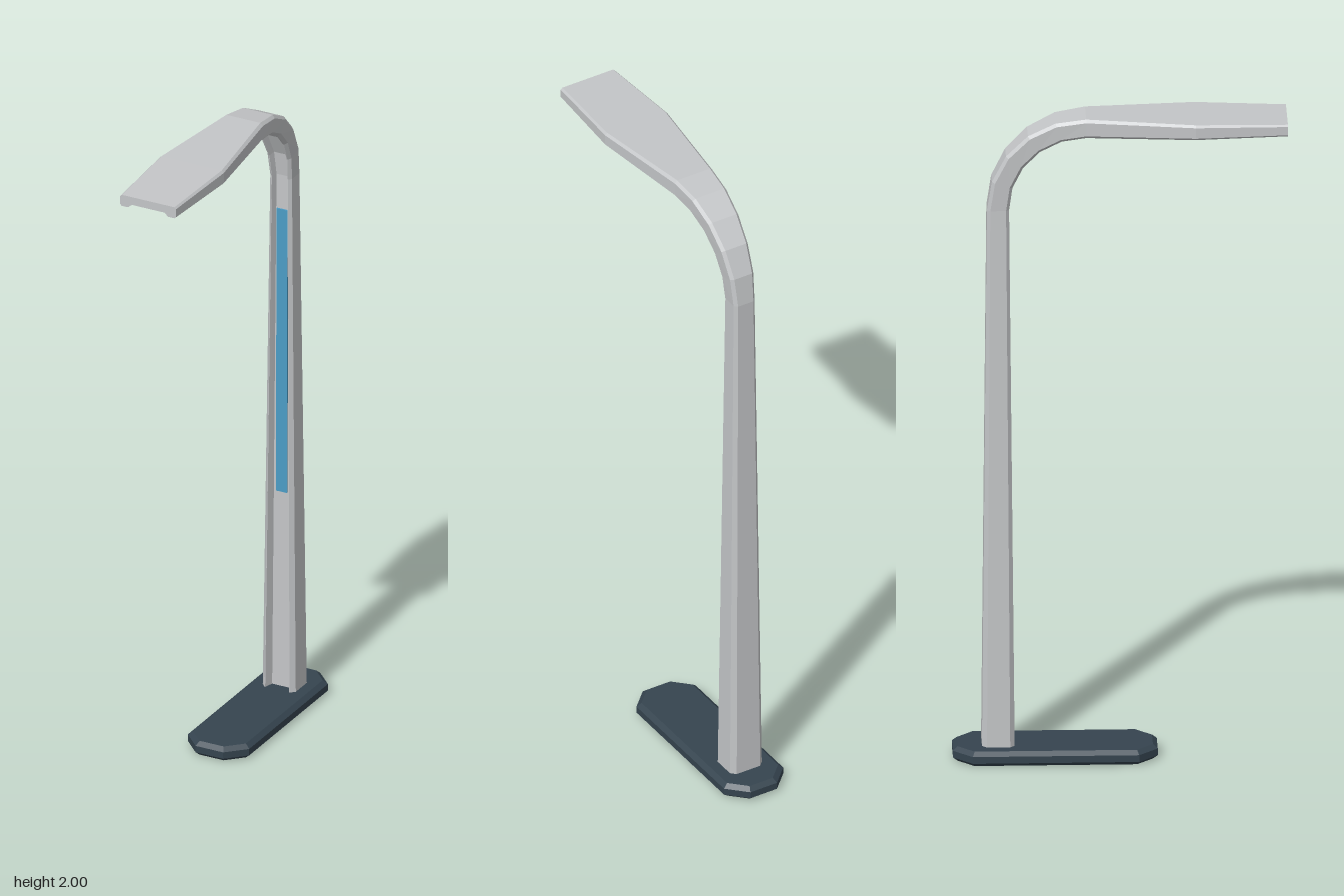
import * as THREE from 'three';

// Stations along the arm's outer face: y, z, turn angle, half width, thickness
const ARC_R = 0.29, ARC_Y = 1.71, ARC_Z = -0.1, ARC_STEPS = 5;
const postStations = [
  { y: 0.035, z: -0.405, a: 0, w: 0.055, t: 0.096 },
  { y: ARC_Y, z: ARC_Z - ARC_R, a: 0, w: 0.036, t: 0.065 },
];
const arcWidths = [0.04, 0.045, 0.051, 0.058, 0.065];
const arcStations = arcWidths.map((w, i) => {
  const a = ((i + 1) / ARC_STEPS) * Math.PI / 2;
  return {
    y: ARC_Y + ARC_R * Math.sin(a), z: ARC_Z - ARC_R * Math.cos(a), a, w,
    t: 0.065 - 0.0015 * (i + 1),
  };
});
const headStations = [
  arcStations[ARC_STEPS - 1],
  { y: 1.994, z: 0.22, a: Math.PI / 2, w: 0.107, t: 0.046 },
  { y: 1.988, z: 0.49, a: Math.PI / 2, w: 0.093, t: 0.036 },
];

// Station between two others, at a given value of y or z
function between(p, q, key, value) {
  const k = (value - p[key]) / (q[key] - p[key]);
  const s = {};
  for (const n of ['y', 'z', 'a', 'w', 't']) s[n] = p[n] + (q[n] - p[n]) * k;
  return s;
}

const grooveFloor = (s) => s.t * 0.7;

// Half sections, listed from the outer face to the inner face as [x, depth]
const channelSection = (s) => [
  [s.w - 0.15 * s.t, 0], [s.w, 0.15 * s.t],
  [s.w, 0.86 * s.t], [s.w - 0.14 * s.t, s.t],
  [0.72 * s.w, s.t], [0.58 * s.w, grooveFloor(s)],
];
const plateSection = (halfWidth) => (s) => [
  [halfWidth(s), grooveFloor(s) - 0.002], [halfWidth(s), grooveFloor(s) + 0.005],
];

// Mirror the half section and sweep it through the stations, closing both ends
function sweep(stations, halfSection) {
  const positions = [], index = [];
  let section, n;
  const rings = stations.map((s) => {
    const half = halfSection(s);
    section = [...half, ...half.map(([x, d]) => [-x, d]).reverse()];
    n = section.length;
    return section.map(([x, d]) => [x, s.y - d * Math.sin(s.a), s.z + d * Math.cos(s.a)]);
  });
  rings.forEach((ring) => ring.forEach((p) => positions.push(...p)));
  for (let i = 0; i < rings.length - 1; i++) {
    for (let j = 0; j < n; j++) {
      const a = i * n + j, b = i * n + (j + 1) % n;
      index.push(a, a + n, b + n, a, b + n, b);
    }
  }
  const last = (rings.length - 1) * n;
  const outline = section.map(([x, d]) => new THREE.Vector2(x, d));
  for (const [a, b, c] of THREE.ShapeUtils.triangulateShape(outline, [])) {
    index.push(a, b, c, last + a, last + c, last + b);
  }
  const geometry = new THREE.BufferGeometry();
  geometry.setAttribute('position', new THREE.Float32BufferAttribute(positions, 3));
  geometry.setIndex(index);
  const flat = geometry.toNonIndexed();
  flat.computeVertexNormals();
  return flat;
}

// Long plate with cut corners and bevelled rims
function baseGeometry() {
  const bevel = 0.014, x = 0.102 - bevel, z = 0.3 - bevel, cut = 0.048;
  const shape = new THREE.Shape([
    [x, -z + cut], [x, z - cut], [x - cut, z], [-x + cut, z],
    [-x, z - cut], [-x, -z + cut], [-x + cut, -z], [x - cut, -z],
  ].map(([px, pz]) => new THREE.Vector2(px, pz)));
  const geometry = new THREE.ExtrudeGeometry(shape, {
    depth: 0.021, bevelEnabled: true, bevelSegments: 1, bevelSize: bevel, bevelThickness: 0.012,
  });
  geometry.rotateX(-Math.PI / 2);
  geometry.translate(0, 0.012, -0.19);
  return geometry;
}

export function createModel() {
  const material = (name, color) => {
    const m = new THREE.MeshStandardMaterial({ color });
    m.name = name;
    return m;
  };
  const grey = material('light grey metal', 0xc4c6c8);
  const slate = material('dark slate', 0x35444f);
  const blue = material('blue light', 0x4b9cc6);

  const group = new THREE.Group();
  group.name = 'lamp';
  const add = (name, geometry, mat) => {
    const mesh = new THREE.Mesh(geometry, mat);
    mesh.name = name;
    group.add(mesh);
  };

  add('base', baseGeometry(), slate);

  // Grooved post, bend and head in one sweep
  add('arm', sweep([...postStations, ...arcStations, ...headStations.slice(1)], channelSection), grey);

  // Light strip in the post groove
  const [foot, top] = postStations;
  add('postLight', sweep(
    [0.68, 1.6].map((y) => between(foot, top, 'y', y)), plateSection(() => 0.018)), blue);

  // Light panel in the groove under the head
  const [neck, middle, tip] = headStations;
  add('headLight', sweep(
    [between(neck, middle, 'z', 0.03), middle, between(middle, tip, 'z', 0.44)],
    plateSection((s) => 0.56 * s.w)), blue);

  return group;
}
